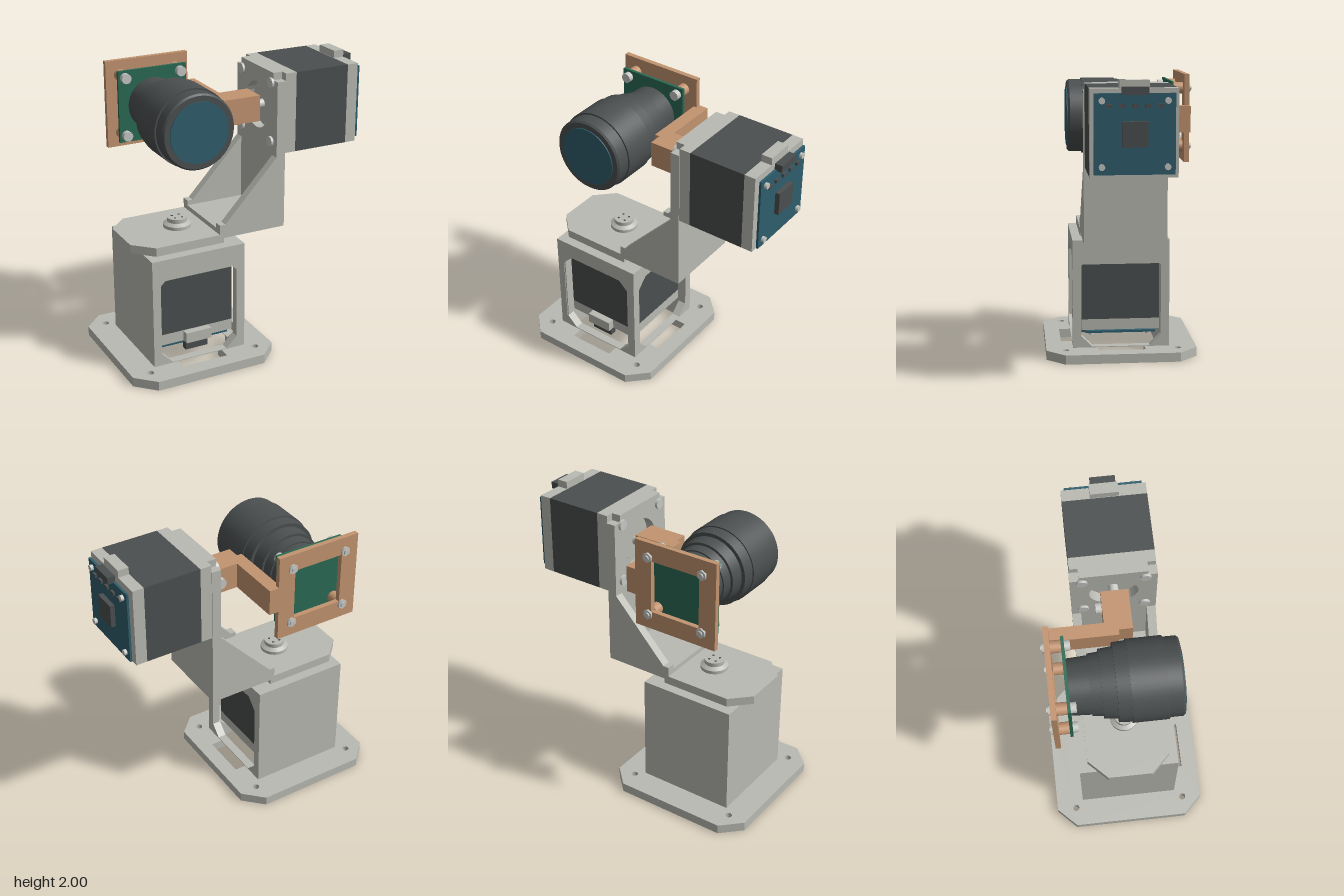
import * as THREE from 'three';

const mat = (name, color) => Object.assign(new THREE.MeshStandardMaterial({ color }), { name });

export function createModel() {
  const grey = mat('light grey', 0xb9bab2);
  const dark = mat('charcoal', 0x4b4f50);
  const blue = mat('teal blue', 0x2f5e6d);
  const green = mat('board green', 0x2a6a54);
  const tan = mat('tan', 0xc39470);
  const steel = mat('steel', 0xc6c8c4);
  const root = new THREE.Group();
  root.name = 'panTiltCamera';
  const CX = -0.385, CY = 1.675;

  // ---- helpers ----
  const add = (parent, name, geo, m) => {
    const mesh = new THREE.Mesh(geo, m);
    mesh.name = name;
    parent.add(mesh);
    return mesh;
  };
  const group = (name, parent = root) => {
    const g = new THREE.Group();
    g.name = name;
    parent.add(g);
    return g;
  };
  // box given by its min and max on each axis
  const box = (p, name, m, x0, x1, y0, y1, z0, z1) => {
    const b = add(p, name, new THREE.BoxGeometry(x1 - x0, y1 - y0, z1 - z0), m);
    b.position.set((x0 + x1) / 2, (y0 + y1) / 2, (z0 + z1) / 2);
    return b;
  };
  // cylinder along an axis, from a to b; u and v are the other two coordinates in xyz order
  const rod = (p, name, m, axis, a, b, u, v, r, sides = 24) => {
    const g = new THREE.CylinderGeometry(r, r, b - a, sides);
    const c = (a + b) / 2;
    if (axis === 'x') g.rotateZ(-Math.PI / 2).translate(c, u, v);
    else if (axis === 'y') g.translate(u, c, v);
    else g.rotateX(Math.PI / 2).translate(u, v, c);
    return add(p, name, g, m);
  };
  const pts = (a) => a.map(([x, y]) => new THREE.Vector2(x, y));
  const circle = (x, y, r) => new THREE.Path().absarc(x, y, r, 0, Math.PI * 2, true);
  const prism = (outline, depth, holes = []) => {
    const s = new THREE.Shape(pts(outline));
    s.holes = holes;
    return new THREE.ExtrudeGeometry(s, { depth, bevelEnabled: false, curveSegments: 16 });
  };
  // rectangle with cut corners
  const octagon = (x0, x1, y0, y1, c) => [
    [x0 + c, y0], [x1 - c, y0], [x1, y0 + c], [x1, y1 - c],
    [x1 - c, y1], [x0 + c, y1], [x0, y1 - c], [x0, y0 + c]];
  const corners = (d, f) => [-d, d].forEach((a) => [-d, d].forEach((b) => f(a, b)));

  // ---- base plate with opening under the motor and along two sides ----
  const base = group('base');
  const opening = new THREE.Path(pts([
    [-0.28, -0.28], [0.28, -0.28], [0.28, -0.165], [0.42, -0.165], [0.42, 0.165], [0.28, 0.165],
    [0.28, 0.28], [0.165, 0.28], [0.165, 0.42], [-0.165, 0.42], [-0.165, 0.28], [-0.28, 0.28]]));
  const mounts = [];
  corners(0.395, (a, b) => mounts.push(circle(a, b, 0.023)));
  const plateGeo = prism(octagon(-0.525, 0.525, -0.53, 0.53, 0.13), 0.065, [opening, ...mounts]);
  // shape y becomes z, extrusion runs downwards
  plateGeo.rotateX(Math.PI / 2).translate(CX, 0.065, 0);
  add(base, 'basePlate', plateGeo, grey);

  // ---- motor housing: two closed walls, two windowed walls, roof ----
  const housing = group('housing');
  housing.position.x = CX;
  box(housing, 'backWall', grey, -0.34, 0.34, 0.065, 0.835, -0.34, -0.28);
  box(housing, 'rightWall', grey, -0.34, -0.28, 0.065, 0.835, -0.335, 0.335);
  box(housing, 'roof', grey, -0.335, 0.335, 0.73, 0.835, -0.335, 0.335);
  [0, Math.PI / 2].forEach((turn, i) => {
    const hole = new THREE.Path(pts(octagon(-0.288, 0.288, 0.07, 0.73, 0.085)));
    const g = prism([[-0.34, 0.065], [0.34, 0.065], [0.34, 0.835], [-0.34, 0.835]], 0.06, [hole]);
    g.translate(0, 0, 0.28).rotateY(turn);
    add(housing, i ? 'leftWindowWall' : 'frontWindowWall', g, grey);
  });

  // ---- motor: front flange at local x = 0, rear towards +x, connector on +y ----
  const makeMotor = (name) => {
    const g = group(name);
    const h = 0.275;
    box(g, 'frontCap', grey, 0, 0.08, -h, h, -h, h);
    box(g, 'motorBody', dark, 0.08, 0.477, -h, h, -h, h);
    box(g, 'rearCap', grey, 0.477, 0.555, -h, h, -h, h);
    box(g, 'connectorCover', grey, 0.48, 0.555, h, 0.325, -0.093, 0.093);
    box(g, 'driverBoard', blue, 0.57, 0.585, -0.252, 0.248, -0.252, 0.252);
    box(g, 'chip', dark, 0.585, 0.617, -0.08, 0.078, -0.08, 0.08);
    box(g, 'connector', dark, 0.57, 0.623, 0.24, 0.288, -0.082, 0.082);
    for (let i = -2; i <= 2; i++) {
      box(g, 'boardPart', dark, 0.585, 0.6, 0.16, 0.183, i * 0.08 - 0.018, i * 0.08 + 0.018);
    }
    corners(0.203, (a, b) => {
      rod(g, 'boardSpacer', steel, 'x', 0.555, 0.57, a, b, 0.02, 12);
      rod(g, 'boardScrew', steel, 'x', 0.585, 0.605, a, b, 0.02, 12);
    });
    rod(g, 'pilotRing', grey, 'x', -0.02, 0, 0, 0, 0.13, 32);
    rod(g, 'shaft', steel, 'x', -0.11, 0, 0, 0, 0.032);
    return g;
  };
  makeMotor('tiltMotor').position.set(0.29, CY, 0);
  const pan = makeMotor('panMotor');
  pan.quaternion.setFromRotationMatrix(new THREE.Matrix4().makeBasis(
    new THREE.Vector3(0, -1, 0), new THREE.Vector3(0, 0, 1), new THREE.Vector3(-1, 0, 0)));
  pan.position.set(CX, 0.73, 0);

  // ---- turntable and hub ----
  const table = group('turntable');
  rod(table, 'bearingDisc', grey, 'y', 0.83, 0.868, CX, 0, 0.22, 40);
  const tableGeo = prism([[-0.795, -0.15], [-0.665, -0.28], [-0.17, -0.28], [-0.17, 0.28],
    [-0.665, 0.28], [-0.795, 0.15]], 0.06);
  tableGeo.rotateX(Math.PI / 2).translate(0, 0.902, 0);
  add(table, 'turntablePlate', tableGeo, grey);
  const hub = add(table, 'hub', new THREE.LatheGeometry(pts([
    [0.095, 0.9], [0.095, 0.925], [0.095, 0.925], [0.068, 0.942], [0.068, 0.942],
    [0.068, 0.97], [0.068, 0.97], [0, 0.97]]), 32), grey);
  hub.position.x = CX;
  corners(0.026, (a, b) => rod(table, 'hubHole', dark, 'y', 0.968, 0.972, CX + a, b, 0.008, 10));

  // ---- bracket: floor, upright motor plate, two gussets ----
  const bracket = group('bracket');
  box(bracket, 'bracketFloor', grey, -0.2, 0.28, 0.875, 0.935, -0.275, 0.275);
  const upright = prism([[-0.28, 0.875], [0.28, 0.875], [0.28, 1.9], [0.22, 1.9], [0.22, 1.95],
    [-0.22, 1.95], [-0.22, 1.9], [-0.28, 1.9]], 0.065, [circle(0, CY, 0.16)]);
  upright.rotateY(Math.PI / 2).translate(0.225, 0, 0);
  add(bracket, 'motorPlate', upright, grey);
  [-0.28, 0.22].forEach((z) => {
    const g = prism([[-0.2, 0.875], [0.285, 0.875], [0.285, 1.4], [0.24, 1.4],
      [0.225, 1.38], [-0.16, 0.97], [-0.2, 0.97]], 0.06);
    add(bracket, 'gusset', g.translate(0, 0, z), grey);
  });
  corners(0.203, (a, b) => rod(bracket, 'motorScrew', steel, 'x', 0.208, 0.23, CY + a, b, 0.036, 16));

  // ---- tilt arm ----
  const arm = group('tiltArm');
  const armGeo = prism([[-0.105, -0.475], [-0.015, -0.475], [-0.015, -0.09], [0.2, -0.09],
    [0.2, 0.09], [-0.07, 0.09], [-0.07, 0], [-0.105, 0]], 0.18);
  armGeo.rotateX(Math.PI / 2).translate(0, 1.765, 0);
  add(arm, 'armBody', armGeo, tan);
  rod(arm, 'clampScrew', steel, 'z', -0.13, -0.09, 0.125, CY, 0.036, 16);

  // ---- camera: mount frame, board, standoffs and lens ----
  const camera = group('camera');
  camera.position.set(CX, CY, 0);
  const frameHole = new THREE.Path(pts([[-0.18, -0.18], [0.18, -0.18], [0.18, 0.18], [-0.18, 0.18]]));
  const frame = prism([[-0.302, -0.303], [0.302, -0.303], [0.302, 0.303], [-0.302, 0.303]], 0.035, [frameHole]);
  add(camera, 'mountFrame', frame.translate(0, 0, -0.475), tan);
  box(camera, 'cameraBoard', green, -0.25, 0.25, -0.25, 0.25, -0.372, -0.352);
  corners(0.202, (a, b) => {
    rod(camera, 'standoff', tan, 'z', -0.44, -0.372, a, b, 0.04);
    rod(camera, 'screwHead', steel, 'z', -0.352, -0.315, a, b, 0.034, 20);
    rod(camera, 'nut', steel, 'z', -0.49, -0.475, a, b, 0.034, 6);
    rod(camera, 'screwTip', steel, 'z', -0.5, -0.49, a, b, 0.018, 12);
  });

  // stepped barrel: each ring is [start z, end z, start radius, end radius]
  const lens = group('lens', camera);
  [[-0.352, -0.22, 0.18, 0.187], [-0.22, -0.15, 0.197, 0.203], [-0.15, -0.06, 0.22, 0.228],
    [-0.06, 0.025, 0.252, 0.257], [0.025, 0.257, 0.265, 0.265], [0.257, 0.345, 0.254, 0.254],
    [0.345, 0.358, 0.254, 0.243]].forEach(([z0, z1, r0, r1]) => {
    const g = new THREE.CylinderGeometry(r1, r0, z1 - z0, 48);
    add(lens, 'barrelRing', g.rotateX(Math.PI / 2).translate(0, 0, (z0 + z1) / 2), dark);
  });
  rod(lens, 'glass', blue, 'z', 0.357, 0.365, 0, 0, 0.205, 48);

  return root;
}
